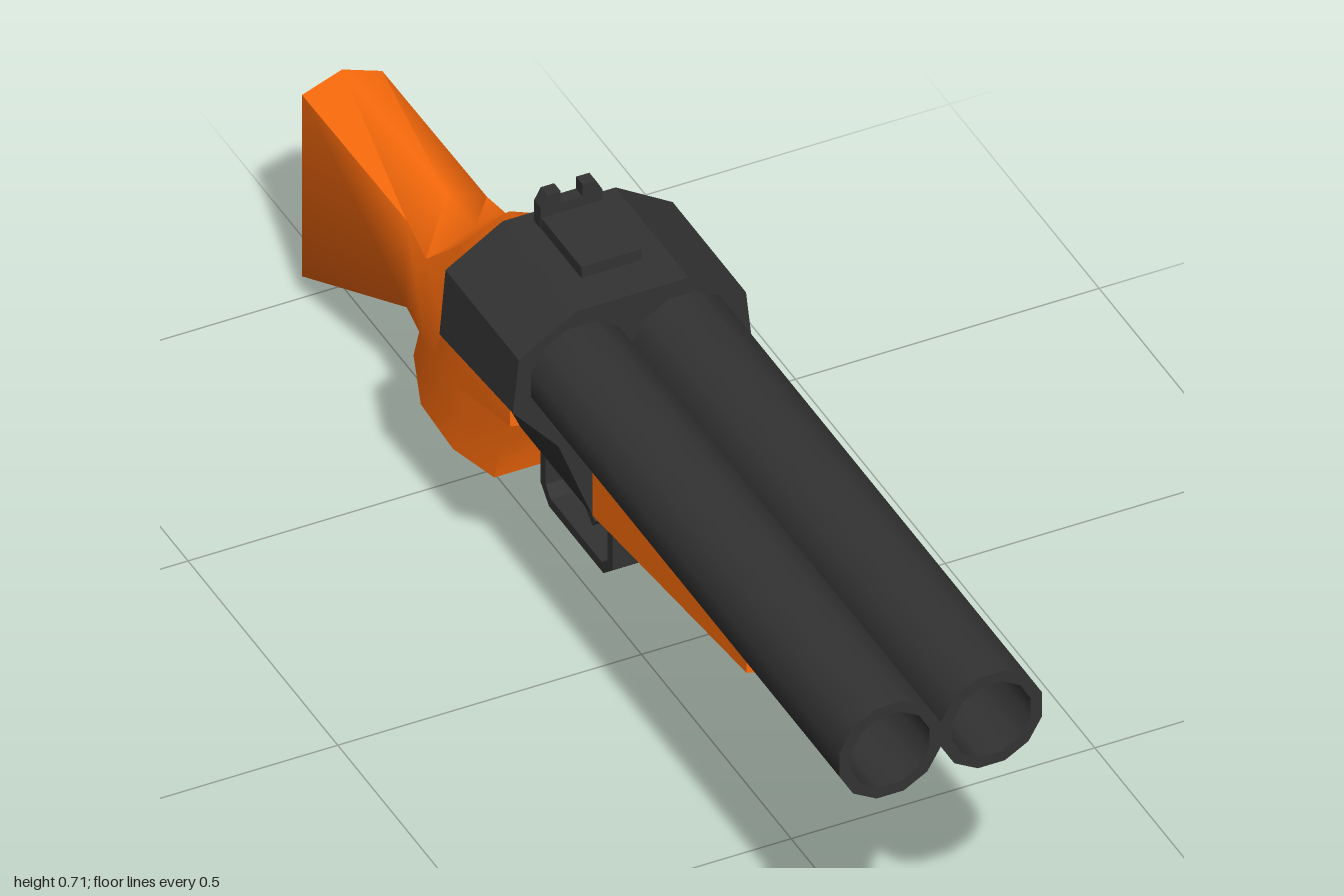
import * as THREE from 'three';
import { toCreasedNormals } from 'three/addons/utils/BufferGeometryUtils.js';

const steel = new THREE.MeshStandardMaterial({ color: 0x333333 });
const wood = new THREE.MeshStandardMaterial({ color: 0xff6d0c });

// Mirrors a right-hand half outline, listed bottom to top, into a full loop
function mirror(half) {
  const left = half.filter((p) => p[0] > 0).reverse().map((p) => [-p[0], ...p.slice(1)]);
  return [...half, ...left];
}

// Skins a row of equal-length loops and closes both ends
function loft(sections) {
  const pos = [];
  const tri = (...corners) => corners.forEach((c) => pos.push(...c));
  const middle = (s) => [0, 1, 2].map((k) => s.reduce((sum, p) => sum + p[k], 0) / s.length);
  const n = sections[0].length;
  const first = sections[0];
  const last = sections[sections.length - 1];
  for (let j = 0; j < n; j++) {
    const k = (j + 1) % n;
    for (let i = 0; i < sections.length - 1; i++) {
      const [s, t] = [sections[i], sections[i + 1]];
      tri(s[j], t[j], s[k]);
      tri(s[k], t[j], t[k]);
    }
    tri(middle(first), first[j], first[k]);
    tri(middle(last), last[k], last[j]);
  }
  const geo = new THREE.BufferGeometry();
  geo.setAttribute('position', new THREE.Float32BufferAttribute(pos, 3));
  return geo;
}

const toShape = (pts) => new THREE.Shape(pts.map((p) => new THREE.Vector2(...p)));

// Extrudes an outline drawn in (z, y) sideways, centred on x = 0
function sideExtrude(shape, width) {
  const geo = new THREE.ExtrudeGeometry(shape, { depth: width, bevelEnabled: false });
  return geo.translate(0, 0, -width / 2).rotateY(-Math.PI / 2);
}

export function createModel() {
  const group = new THREE.Group();
  const add = (name, geo, material, crease = 0.75) => {
    const mesh = new THREE.Mesh(toCreasedNormals(geo, crease), material);
    mesh.name = name;
    group.add(mesh);
    return mesh;
  };

  // Twin twelve-sided barrels with open bores
  const profile = [[0, -0.05], [0.0863, -0.05], [0.0863, 1], [0.067, 1], [0.067, 0], [0, 0]];
  for (const side of [1, -1]) {
    const points = profile.map((p) => new THREE.Vector2(...p));
    const geo = new THREE.LatheGeometry(points, 12, Math.PI / 12).rotateX(Math.PI / 2);
    const barrel = add(side > 0 ? 'leftBarrel' : 'rightBarrel', geo, steel);
    barrel.position.set(side * 0.0833, 0.539, 0);
  }

  // Receiver block, its lower flanks slightly fuller at the back
  const receiverSection = (z, drop) => mirror([
    [0, 0.247], [0.066, 0.263], [0.122, 0.41 - drop], [0.197, 0.497 - drop],
    [0.187, 0.592], [0.093, 0.651],
  ]).map(([x, y]) => [x, y, z]);
  add('receiver', loft([receiverSection(-0.03, 0), receiverSection(-0.275, 0.021)]), steel, 0.3);

  // Sight base and notched rear sight
  add('sightBase', new THREE.BoxGeometry(0.1, 0.03, 0.155).translate(0, 0.656, -0.177), steel);
  const sight = toShape(mirror([
    [0.051, 0.65], [0.051, 0.69], [0.04, 0.71], [0.018, 0.71], [0.018, 0.688],
  ]));
  const sightGeo = new THREE.ExtrudeGeometry(sight, { depth: 0.022, bevelEnabled: false });
  add('rearSight', sightGeo.translate(0, 0, -0.255), steel, 0.3);

  // Wooden fore-end with a V-shaped belly
  const foreSection = (z, keel, edge) => mirror([
    [0, keel, z], [0.066, edge, z], [0.066, 0.48, z],
  ]);
  add('foreEnd', loft([foreSection(0.485, 0.306, 0.323), foreSection(-0.04, 0.247, 0.262)]), wood, 0.3);

  // Shoulder stock: z, top, bottom, half width, top bevel, bottom bevel
  const stockRows = [
    [-0.27, 0.57, 0.25, 0.083, 0.035, 0.02],
    [-0.325, 0.56, 0.235, 0.083, 0.035, 0.02],
    [-0.44, 0.525, 0.205, 0.083, 0.035, 0.02],
    [-0.555, 0.415, 0.205, 0.081, 0.03, 0.02],
    [-0.65, 0.413, 0.195, 0.066, 0.027, 0.03],
    [-1, 0.405, 0.003, 0.066, 0.025, 0.04],
  ];
  add('stock', loft(stockRows.map(([z, top, bottom, w, tb, bb]) => mirror([
    [0, bottom, z], [w, bottom + bb, z], [w, top - tb, z], [0, top, z],
  ]))), wood, 1.2);

  // Pistol grip: front z, front y, rear z, rear y
  const gripRows = [
    [-0.285, 0.33, -0.58, 0.33],
    [-0.325, 0.23, -0.63, 0.23],
    [-0.36, 0.16, -0.655, 0.16],
    [-0.38, 0.09, -0.67, 0.115],
  ];
  const gripOutline = [[0.055, 0], [0.083, 0.28], [0.083, 0.65], [0.045, 1]];
  add('grip', loft(gripRows.map(([fz, fy, rz, ry]) => mirror(gripOutline.map(
    ([x, t]) => [x, fy + (ry - fy) * t, fz + (rz - fz) * t],
  )))), wood, 0.85);

  // Trigger guard loop
  const guard = toShape([
    [-0.27, 0.27], [-0.27, 0.15], [-0.242, 0.124], [-0.06, 0.124], [-0.03, 0.15], [-0.03, 0.27],
  ]);
  guard.holes.push(new THREE.Path([
    [-0.253, 0.26], [-0.253, 0.157], [-0.236, 0.141], [-0.066, 0.141], [-0.047, 0.157], [-0.047, 0.26],
  ].map((p) => new THREE.Vector2(...p))));
  add('triggerGuard', sideExtrude(guard, 0.066), steel, 0.3);

  // Curved trigger
  const trigger = toShape([
    [-0.155, 0.27], [-0.163, 0.215], [-0.155, 0.185], [-0.13, 0.165], [-0.137, 0.153],
    [-0.168, 0.175], [-0.183, 0.215], [-0.193, 0.27],
  ]);
  add('trigger', sideExtrude(trigger, 0.026), steel, 0.6);

  return group;
}
